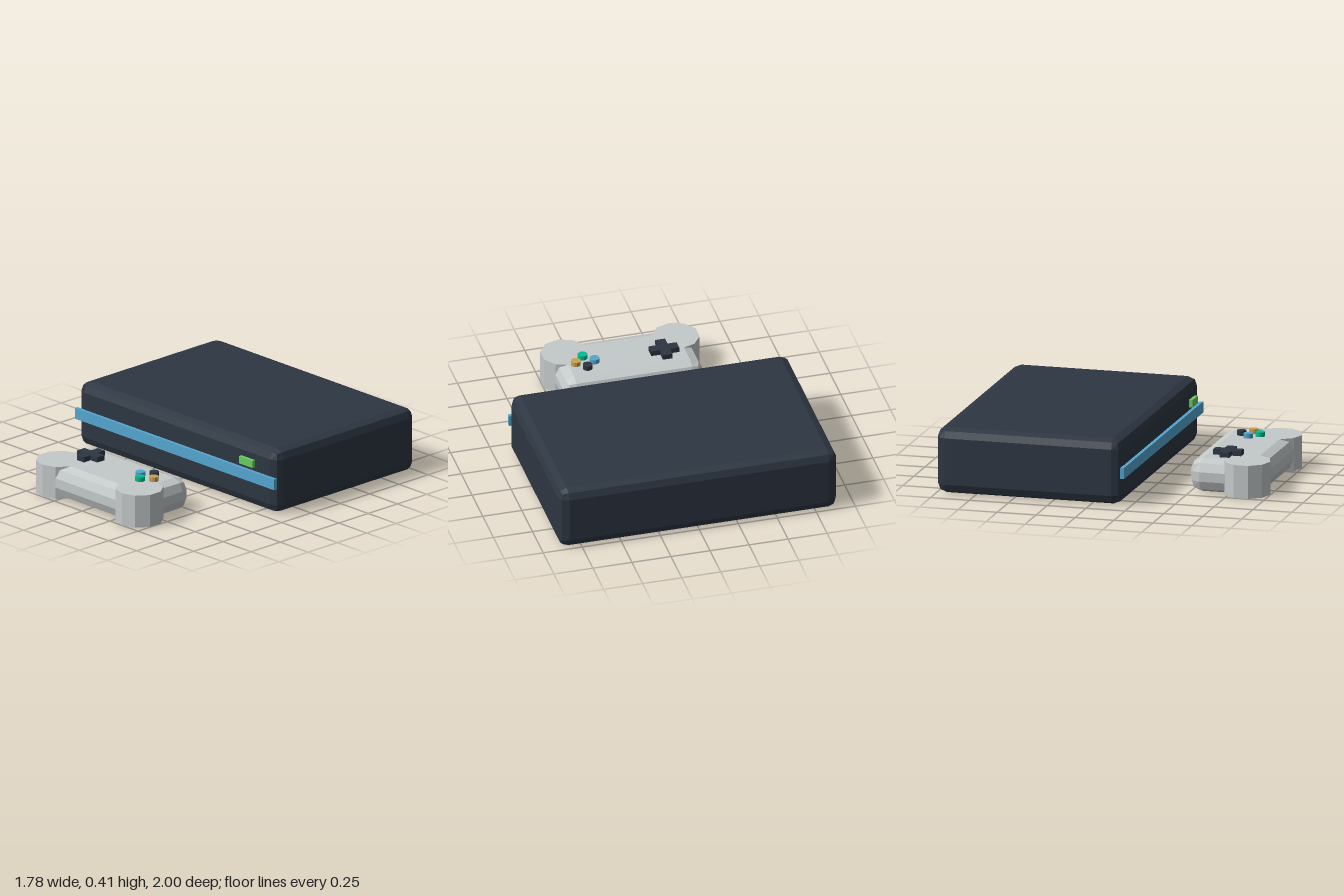
import * as THREE from 'three';
import { RoundedBoxGeometry } from 'three/addons/geometries/RoundedBoxGeometry.js';

const paint = (name, color) => {
  const m = new THREE.MeshStandardMaterial({ color, flatShading: true });
  m.name = name;
  return m;
};

export function createModel() {
  const model = new THREE.Group();
  model.name = 'gameConsoleSet';

  const slate = paint('slate', 0x2d3642);
  const grey = paint('lightGrey', 0xc4c9c9);
  const blue = paint('blue', 0x54a6cf);
  const lime = paint('lime', 0x69cc5d);
  const mint = paint('mint', 0x00bd92);
  const amber = paint('amber', 0xc9a251);

  const add = (parent, name, geometry, material, x, y, z) => {
    const mesh = new THREE.Mesh(geometry, material);
    mesh.name = name;
    mesh.position.set(x, y, z);
    parent.add(mesh);
    return mesh;
  };

  // Console: chunky bevelled case, front stripe and power light
  const unit = new THREE.Group();
  unit.name = 'console';
  model.add(unit);
  add(unit, 'case', new RoundedBoxGeometry(1.785, 0.415, 1.19, 1, 0.06), slate, 0, 0.2085, -0.405);
  add(unit, 'frontStripe', new THREE.BoxGeometry(1.785, 0.07, 0.024), blue, 0, 0.21, 0.2);
  add(unit, 'powerLight', new THREE.BoxGeometry(0.12, 0.047, 0.024), lime, 0.655, 0.302, 0.217);

  // Controller: bevelled body with a ten-sided grip at each side
  const pad = new THREE.Group();
  pad.name = 'controller';
  model.add(pad);
  const height = 0.21, top = 0.212;
  add(pad, 'body', new RoundedBoxGeometry(0.893, height, 0.477, 1, 0.075), grey, 0, top - height / 2, 0.732);
  for (const side of [-1, 1]) {
    add(pad, side > 0 ? 'leftGrip' : 'rightGrip',
      new THREE.CylinderGeometry(0.149, 0.149, height, 10), grey, side * 0.357, top - height / 2, 0.851);
  }

  // Plus-shaped direction pad
  const a = 0.09, b = 0.031;
  const plus = new THREE.Shape([
    [-b, -a], [b, -a], [b, -b], [a, -b], [a, b], [b, b],
    [b, a], [-b, a], [-b, b], [-a, b], [-a, -b], [-b, -b],
  ].map(([x, y]) => new THREE.Vector2(x, y)));
  const plusGeometry = new THREE.ExtrudeGeometry(plus, { depth: 0.045, bevelEnabled: false });
  plusGeometry.rotateX(-Math.PI / 2);
  add(pad, 'directionPad', plusGeometry, slate, -0.24, 0.2, 0.697);

  // Four action buttons in a diamond
  const buttons = [
    ['backButton', slate, 0, -0.06], ['frontButton', mint, 0, 0.06],
    ['innerButton', blue, -0.06, 0], ['outerButton', amber, 0.06, 0],
  ];
  for (const [name, material, x, z] of buttons) {
    add(pad, name, new THREE.CylinderGeometry(0.031, 0.031, 0.04, 12), material, 0.265 + x, 0.221, 0.698 + z);
  }
  return model;
}
